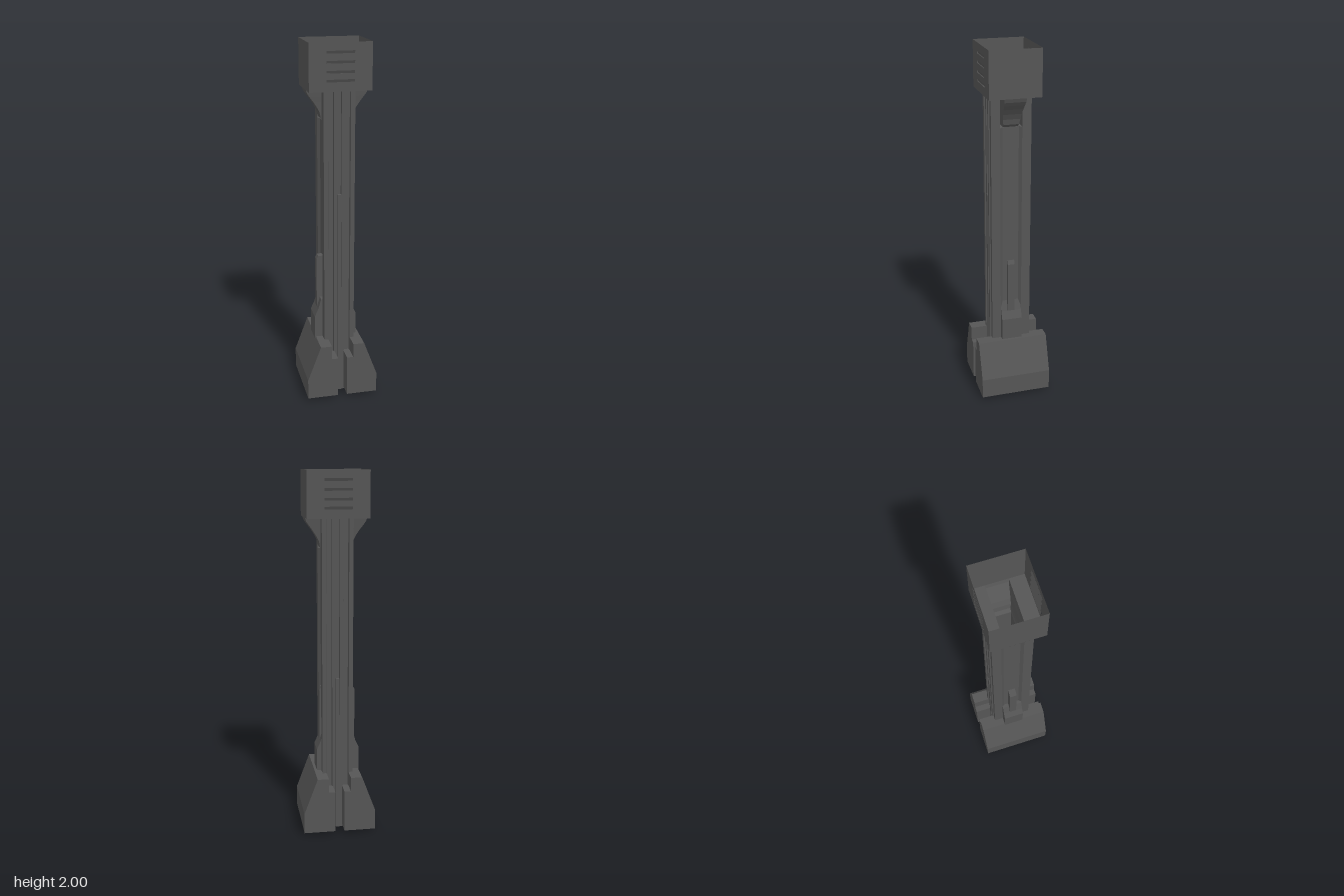
import * as THREE from 'three';

const mat = new THREE.MeshStandardMaterial({ color: 0x555555, flatShading: true, side: THREE.DoubleSide });

function add(parent, name, geometry, x = 0, y = 0, z = 0) {
  const mesh = new THREE.Mesh(geometry, mat);
  mesh.name = name;
  mesh.position.set(x, y, z);
  parent.add(mesh);
  return mesh;
}

const toShape = pts => new THREE.Shape(pts.map(p => new THREE.Vector2(...p)));
const rect = (x0, y0, x1, y1) => [[x0, y0], [x1, y0], [x1, y1], [x0, y1]];
const mirrorX = pts => pts.concat(pts.slice().reverse().map(([x, y]) => [-x, y]));

// Plan outline raised from y0 to y1
function raise(shape, y0, y1) {
  return new THREE.ExtrudeGeometry(shape, { depth: y1 - y0, bevelEnabled: false })
    .rotateX(-Math.PI / 2).translate(0, y0, 0);
}

// Side profile in x and y, extruded symmetrically along z
function slab(pts, width) {
  return new THREE.ExtrudeGeometry(toShape(pts), { depth: width, bevelEnabled: false })
    .translate(0, 0, -width / 2);
}

// Open skin around rectangular rings given as [y, halfX, halfZ]
function rectSkin(rings) {
  const pos = [], idx = [];
  rings.forEach(([y, x, z]) => pos.push(-x, y, z, x, y, z, x, y, -z, -x, y, -z));
  for (let r = 0; r < rings.length - 1; r++) {
    for (let i = 0; i < 4; i++) {
      const a = r * 4 + i, b = r * 4 + (i + 1) % 4;
      idx.push(a, b, b + 4, a, b + 4, a + 4);
    }
  }
  const g = new THREE.BufferGeometry();
  g.setAttribute('position', new THREE.Float32BufferAttribute(pos, 3));
  g.setIndex(idx);
  g.computeVertexNormals();
  return g;
}

// Open-bottomed shell of a profile: side strip plus two end caps
function openShell(pts, halfZ) {
  const pos = [], idx = [];
  pts.forEach(([x, y]) => pos.push(x, y, halfZ, x, y, -halfZ));
  for (let i = 0; i < pts.length - 1; i++) {
    const a = i * 2;
    idx.push(a, a + 1, a + 3, a, a + 3, a + 2);
  }
  const strip = new THREE.BufferGeometry();
  strip.setAttribute('position', new THREE.Float32BufferAttribute(pos, 3));
  strip.setIndex(idx);
  strip.computeVertexNormals();
  return strip;
}

export function createModel() {
  const model = new THREE.Group();
  model.name = 'tower';

  // Grooved hollow shaft
  const shaft = new THREE.Group();
  shaft.name = 'shaft';
  model.add(shaft);
  const face = [[0.085, 0.11], [0.062, 0.11], [0.058, 0.098], [0.032, 0.098], [0.03, 0.11],
    [0.012, 0.11], [0.01, 0.1]];
  const quarter = [[0.072, 0], [0.072, 0.045], [0.085, 0.06], ...face];
  const half = mirrorX(quarter).slice(1, -1);
  const section = toShape(half.concat(half.slice().reverse().map(([x, z]) => [x, -z])));
  section.holes.push(new THREE.Path(rect(-0.068, -0.04, 0.068, 0.04).map(p => new THREE.Vector2(...p))));
  add(shaft, 'shaftBody', raise(section, 0, 1.58));
  const pier = mirrorX([[0.085, 0.06], ...face]);
  for (const s of [1, -1]) {
    add(shaft, 'upperPier', raise(toShape(pier), 1.58, 1.75)).rotation.y = s > 0 ? 0 : Math.PI;
  }
  add(shaft, 'frontRib', new THREE.BoxGeometry(0.02, 1.19, 0.014), 0, 0.595, 0.107);
  add(shaft, 'backRib', new THREE.BoxGeometry(0.02, 0.88, 0.014), 0, 0.44, -0.107);

  // Curved funnel spreading into the head
  add(model, 'funnel', rectSkin([
    [1.58, 0.07, 0.04], [1.595, 0.085, 0.043], [1.625, 0.092, 0.047], [1.655, 0.107, 0.05],
    [1.685, 0.127, 0.053], [1.71, 0.146, 0.056], [1.73, 0.16, 0.058], [1.75, 0.167, 0.06]]));

  // Open-topped head with louvred front and back
  const head = new THREE.Group();
  head.name = 'head';
  model.add(head);
  const vents = [1.805, 1.85, 1.9, 1.95];
  for (const s of [1, -1]) {
    const wall = toShape(rect(-0.167, 1.75, 0.167, 2));
    for (const y of vents) {
      wall.holes.push(new THREE.Path(rect(-0.075, y - 0.007, 0.075, y + 0.007).map(p => new THREE.Vector2(...p))));
      const louvre = add(head, 'louvre', new THREE.PlaneGeometry(0.15, 0.016), 0, y, s * 0.1365);
      louvre.rotation.x = s * 0.42;
    }
    add(head, 'ventedWall', new THREE.ShapeGeometry(wall), 0, 0, s * 0.14);
    add(head, 'sideWall', new THREE.PlaneGeometry(0.28, 0.25).rotateY(s * Math.PI / 2), s * 0.167, 1.875, 0);
    add(head, 'floor', new THREE.PlaneGeometry(0.334, 0.08).rotateX(-Math.PI / 2), 0, 1.75, s * 0.1);
  }

  // Stepped, sloped feet, open underneath
  const foot = [[0.026, 0.015], [0.026, 0.25], [0.062, 0.25], [0.062, 0.33],
    [0.125, 0.33], [0.2, 0.13], [0.2, 0.015]];
  for (const s of [1, -1]) {
    const pts = foot.map(([x, y]) => [s * x, y]);
    const group = new THREE.Group();
    group.name = s > 0 ? 'leftFoot' : 'rightFoot';
    model.add(group);
    add(group, 'footShell', openShell(s > 0 ? pts : pts.slice().reverse(), 0.2));
    for (const z of [0.2, -0.2]) add(group, 'footEnd', new THREE.ShapeGeometry(toShape(pts)), 0, 0, z);
  }

  // Side rails with wider brackets; the right pair stands out further
  for (const [s, out] of [[1, 0], [-1, 0.02]]) {
    const side = s > 0 ? 'left' : 'right';
    const place = pts => pts.map(([x, y]) => [s * (x + out), y]);
    add(model, side + 'Rail', slab(place([[0.045, 0.3], [0.09, 0.3], [0.09, 0.79], [0.08, 0.81], [0.045, 0.81]]), 0.04));
    add(model, side + 'Bracket', slab(place([[0.05, 0.25], [0.11, 0.25], [0.11, 0.455], [0.09, 0.5], [0.072, 0.56], [0.05, 0.56]]), 0.116));
  }
  return model;
}
